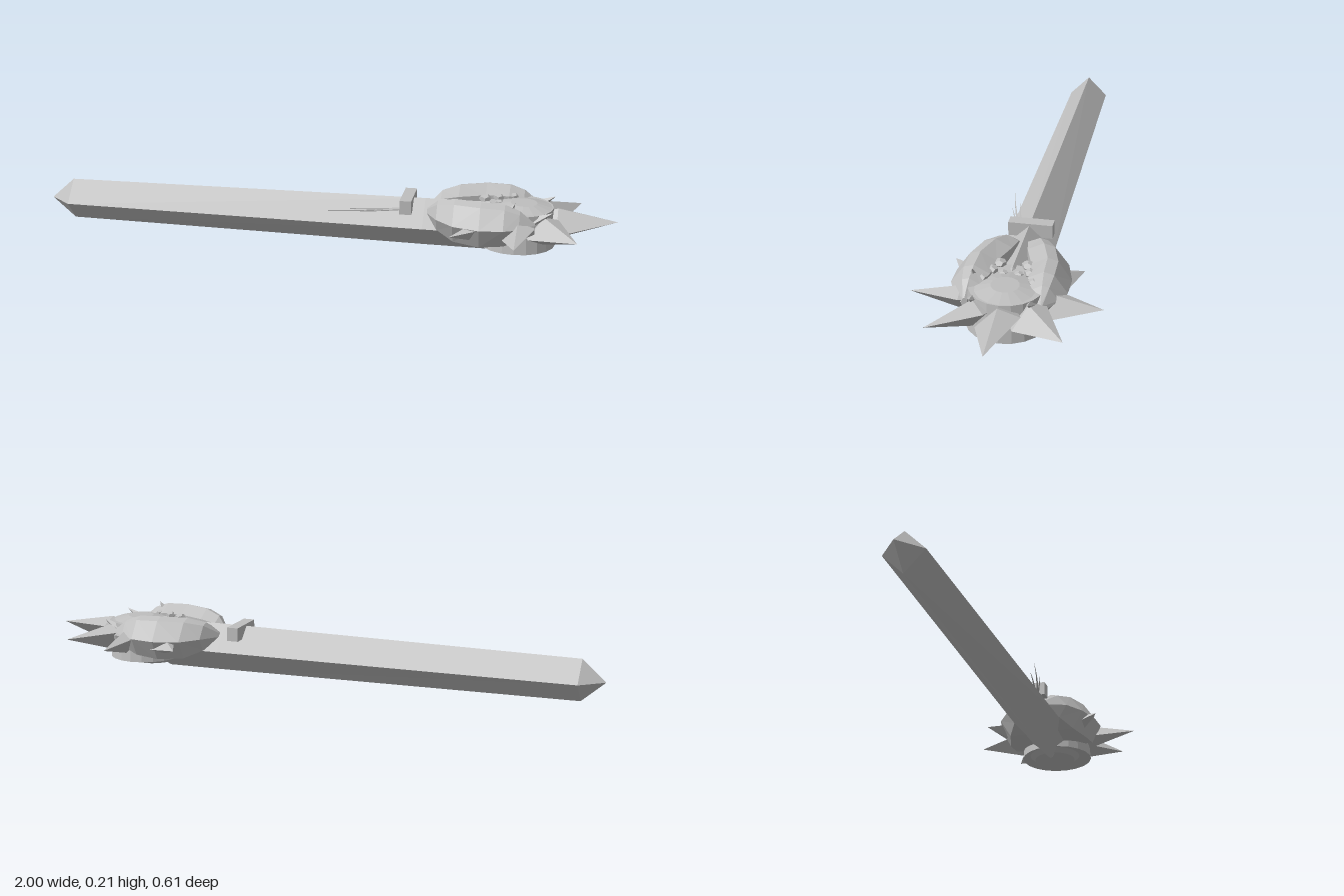
import * as THREE from 'three';

const stone = new THREE.MeshStandardMaterial({ color: 0xbfbfbf });
stone.name = 'plainGrey';

// Closed faceted skin through cross-sections ordered along +x, each running from +y towards +z
function loft(rings) {
  const pos = [];
  const tri = (a, b, c) => pos.push(...a, ...b, ...c);
  for (let i = 0; i < rings.length - 1; i++) {
    const p = rings[i], q = rings[i + 1], n = p.length;
    for (let j = 0; j < n; j++) {
      const k = (j + 1) % n;
      tri(p[j], p[k], q[j]);
      tri(p[k], q[k], q[j]);
    }
  }
  const first = rings[0], last = rings[rings.length - 1];
  for (let j = 1; j < first.length - 1; j++) {
    tri(first[0], first[j + 1], first[j]);
    tri(last[0], last[j], last[j + 1]);
  }
  const g = new THREE.BufferGeometry();
  g.setAttribute('position', new THREE.Float32BufferAttribute(pos, 3));
  g.computeVertexNormals();
  return g;
}

function add(parent, name, geometry, x = 0, y = 0, z = 0) {
  let g = geometry.index ? geometry.toNonIndexed() : geometry;
  g.computeVertexNormals();
  const mesh = new THREE.Mesh(g, stone);
  mesh.name = name;
  mesh.position.set(x, y, z);
  parent.add(mesh);
  return mesh;
}

const diamond = (x, y, ry, rz) => [[x, y + ry, 0], [x, y, rz], [x, y - ry, 0], [x, y, -rz]];

// Four-sided thorn along +x with a skewed diamond base
function thorn(length, size, lift) {
  const base = [[0, 0.05, 0], [0, -0.022, 0.068], [0, -0.05, 0], [0, 0.028, -0.068]];
  const scaled = (x, s) => base.map(([, y, z]) => [x, y * s, z * s]);
  return loft([
    scaled(-0.08, size * 0.5), scaled(0, size),
    base.map(() => [length, lift, 0]),
  ]);
}

export function createModel() {
  const model = new THREE.Group();
  model.name = 'spikedMace';

  // Long diamond-section shaft with pointed ends
  add(model, 'shaft', loft([
    diamond(-1, 0.088, 0.001, 0.001), diamond(-0.92, 0.089, 0.072, 0.07),
    diamond(0.35, 0.088, 0.084, 0.086), diamond(0.57, 0.088, 0.085, 0.088),
    diamond(0.68, 0.088, 0.03, 0.03),
  ]));
  add(model, 'collarBlock', new THREE.BoxGeometry(0.04, 0.048, 0.148), 0.29, 0.155, -0.004);

  // Round head core with a raised crown and a foot disc
  const head = new THREE.Group();
  head.name = 'head';
  model.add(head);
  add(head, 'drum', new THREE.CylinderGeometry(0.12, 0.13, 0.13, 20), 0.665, 0.1, 0);
  add(head, 'crown', new THREE.CylinderGeometry(0.045, 0.1, 0.014, 16), 0.685, 0.171, 0);
  add(head, 'footDisc', new THREE.CylinderGeometry(0.1, 0.075, 0.02, 20), 0.635, 0.03, 0);

  // Radial spikes
  const cx = 0.675;
  const spikes = [
    [0, 0.325, 0.125, 1.05, 0.017], [47, 0.29, 0.12, 0.95, 0.006], [-47, 0.29, 0.12, 0.95, 0.006],
    [90, 0.305, 0.14, 0.85, 0.004], [-90, 0.305, 0.14, 0.85, 0.004],
    [136, 0.305, 0.19, 0.7, 0], [-136, 0.305, 0.19, 0.7, 0],
  ];
  for (const [deg, reach, start, size, lift] of spikes) {
    const a = THREE.MathUtils.degToRad(deg);
    const m = add(head, 'spike', thorn(reach - start, size, lift),
      cx + Math.cos(a) * start, 0.112, Math.sin(a) * start);
    m.rotation.y = -a;
  }

  // Paired domed lobes: x, inner z, outer z, bottom y, top y
  const stations = [
    [0.36, 0.015, 0.04, 0.12, 0.145], [0.4, 0.015, 0.115, 0.09, 0.185],
    [0.46, 0.025, 0.16, 0.065, 0.202], [0.55, 0.055, 0.185, 0.06, 0.206],
    [0.63, 0.06, 0.185, 0.07, 0.203], [0.68, 0.08, 0.165, 0.09, 0.185],
    [0.73, 0.11, 0.13, 0.11, 0.145],
  ];
  const lobe = loft(stations.map(([x, zi, zo, yb, yt]) => {
    const w = zo - zi, h = yt - yb;
    return [
      [x, yt, zi + w * 0.4], [x, yt - h * 0.07, zi + w * 0.66], [x, yb + h * 0.48, zo],
      [x, yb, zi + w * 0.72], [x, yb, zi], [x, yt - h * 0.2, zi],
    ];
  }));
  for (const side of [1, -1]) {
    const half = new THREE.Group();
    half.name = side > 0 ? 'leftLobe' : 'rightLobe';
    half.scale.z = side;
    head.add(half);
    add(half, 'dome', lobe);
    // Broken knobs along the inner rim of the lobe
    const knobs = [[0.55, 0.17, 0.045, 0.022], [0.595, 0.172, 0.06, 0.02],
      [0.6, 0.165, 0.025, 0.016], [0.645, 0.172, 0.08, 0.018]];
    for (const [x, y, z, r] of knobs) {
      const k = add(half, 'rimKnob', new THREE.DodecahedronGeometry(r, 0), x, y, z);
      k.scale.y = 0.65;
    }
    // Small upright shards behind the lobe
    const shard = add(half, 'shard', new THREE.ConeGeometry(0.03, 0.11, 4), 0.74, 0.15, 0.09);
    shard.rotation.z = -1.05;
  }
  const chip = add(head, 'chip', new THREE.ConeGeometry(0.012, 0.03, 4), 0.655, 0.196, 0.108);
  chip.rotation.z = -0.5;

  // Flat wispy strands trailing from the collar
  const strands = [
    [[0.3, 0.03], [0.2, 0.07], [0.03, 0.105]],
    [[0.3, 0.025], [0.2, 0.055], [0.1, 0.07]],
    [[0.29, 0.035], [0.24, 0.06], [0.14, 0.092]],
  ];
  for (const [p, q, r] of strands) {
    const s = new THREE.Shape();
    s.moveTo(p[0], p[1] - 0.005);
    s.quadraticCurveTo(q[0], q[1] - 0.003, r[0], r[1]);
    s.quadraticCurveTo(q[0], q[1] + 0.003, p[0], p[1] + 0.005);
    const g = new THREE.ExtrudeGeometry(s, { depth: 0.003, bevelEnabled: false, curveSegments: 6 });
    g.rotateX(Math.PI / 2);
    add(model, 'strand', g, 0, 0.142, 0);
  }
  return model;
}
